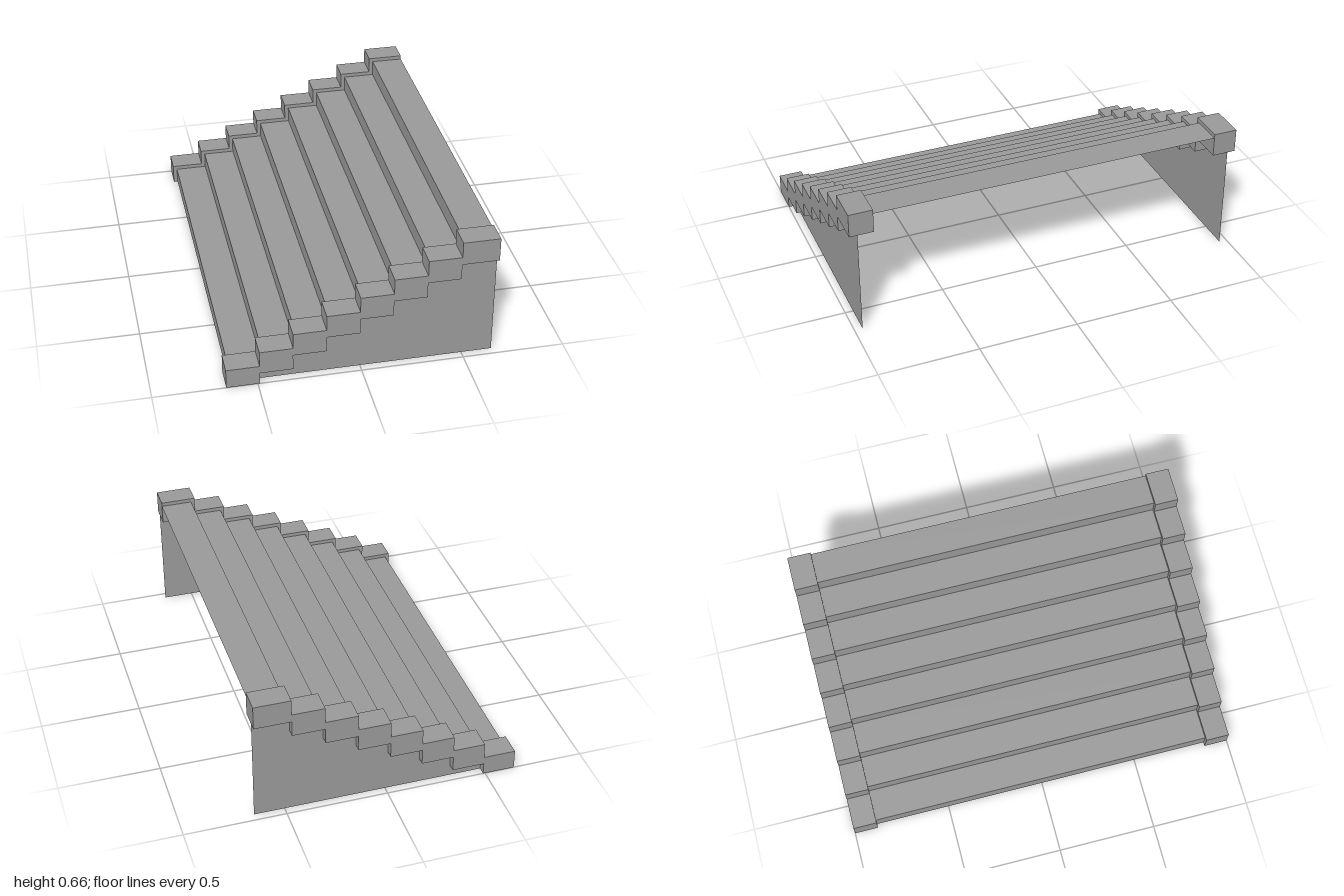
import * as THREE from 'three';

const STEPS = 8, RUN = 0.16, RISE = 0.08, X0 = -0.65, X1 = 0.65;

// Stepped line climbing towards +x: each step is a riser followed by a flat run
function stairLine(x, y, first, lastX) {
  const pts = [];
  for (let i = first; i < STEPS; i++) {
    const top = y + RISE * i;
    pts.push([x + RUN * i, top], [i === STEPS - 1 ? lastX : x + RUN * (i + 1), top]);
  }
  return pts;
}

const toShape = pts => new THREE.Shape(pts.map(([x, y]) => new THREE.Vector2(x, y)));

export function createModel() {
  const group = new THREE.Group();
  const solid = new THREE.MeshStandardMaterial({ color: 0x999999, flatShading: true });
  const thin = new THREE.MeshStandardMaterial({ color: 0x999999, flatShading: true, side: THREE.DoubleSide });

  const add = (name, geometry, material, z = 0) => {
    const mesh = new THREE.Mesh(geometry, material);
    mesh.name = name;
    mesh.position.z = z;
    group.add(mesh);
  };

  // Stepped borders and the thin side walls beneath them
  const upper = stairLine(X0, 0.10, 0, X1);
  const lower = stairLine(X0, -0.02, 1, X1);
  const border = new THREE.ExtrudeGeometry(
    toShape([[X0, 0], [X0 + RUN, 0], ...lower, ...upper.reverse()]),
    { depth: 0.12, bevelEnabled: false });
  const wall = new THREE.ShapeGeometry(toShape([[X0 + RUN, 0], [X1, 0], ...lower.slice().reverse()]));
  add('frontBorder', border, solid, 0.88);
  add('backBorder', border, solid, -1);
  add('frontSideWall', wall, thin, 0.96);
  add('backSideWall', wall, thin, -0.96);

  // Folded sheet of risers and treads between the borders
  const line = [[-0.63, 0], ...stairLine(-0.63, RISE, 0, X1)];
  const position = [];
  for (let i = 0; i < line.length - 1; i++) {
    const [ax, ay] = line[i], [bx, by] = line[i + 1], w = 0.88;
    position.push(ax, ay, w, bx, by, w, bx, by, -w, ax, ay, w, bx, by, -w, ax, ay, -w);
  }
  const sheet = new THREE.BufferGeometry();
  sheet.setAttribute('position', new THREE.Float32BufferAttribute(position, 3));
  sheet.computeVertexNormals();
  add('treadsAndRisers', sheet, thin);

  return group;
}
